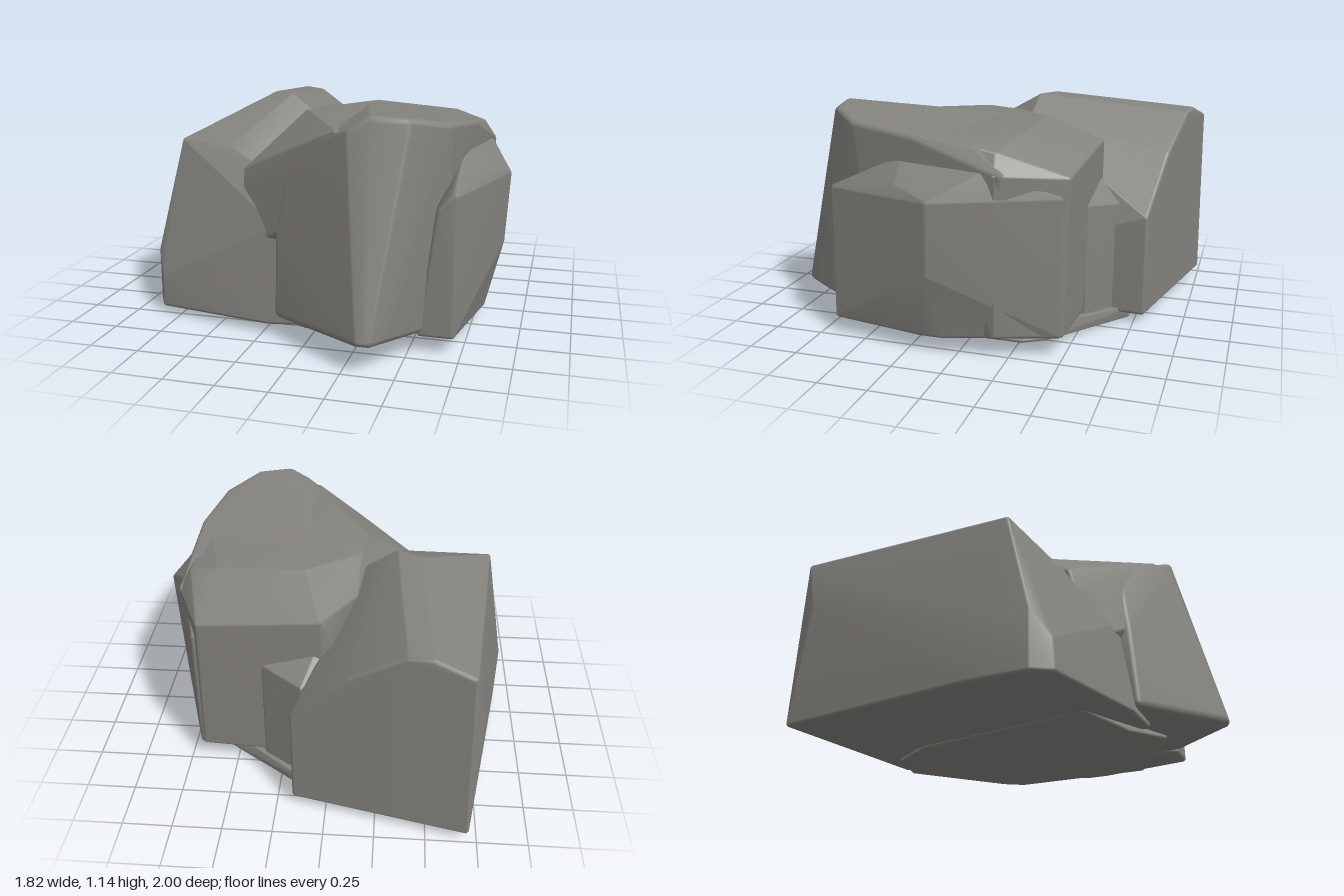
import * as THREE from 'three';
import { ConvexGeometry } from 'three/addons/geometries/ConvexGeometry.js';
import { mergeVertices } from 'three/addons/utils/BufferGeometryUtils.js';

const stone = new THREE.MeshStandardMaterial({ color: 0x83827d });
stone.name = 'grey stone';

// Convex boulder through the given corners, each corner worn to a small radius
function boulder(name, corners, r = 0.025) {
  const pts = corners.map((c) => new THREE.Vector3(...c));
  const centre = new THREE.Vector3();
  pts.forEach((p) => centre.addScaledVector(p, 1 / pts.length));
  const pos = new THREE.IcosahedronGeometry(r, 1).attributes.position;
  const ball = new Map();
  for (let i = 0; i < pos.count; i++) {
    const v = new THREE.Vector3().fromBufferAttribute(pos, i);
    ball.set(v.toArray().map((n) => n.toFixed(4)).join(), v);
  }
  const cloud = [];
  for (const p of pts) {
    // pull the corner in so the worn surface still reaches the outline
    const inset = centre.clone().sub(p);
    const c = p.clone();
    for (const a of ['x', 'y', 'z']) c[a] += Math.sign(inset[a]) * Math.min(r, Math.abs(inset[a]));
    for (const v of ball.values()) cloud.push(c.clone().add(v));
  }
  let geo = new ConvexGeometry(cloud);
  geo.deleteAttribute('normal');
  geo.deleteAttribute('uv');
  geo = mergeVertices(geo, 1e-5);
  geo.computeVertexNormals(); // area weighted: flat faces, soft edges
  const mesh = new THREE.Mesh(geo, stone);
  mesh.name = name;
  return mesh;
}

export function createModel() {
  const group = new THREE.Group();
  group.name = 'rockCluster';

  // Long slab on the -x side, with a sloping ridge
  group.add(boulder('longSlab', [
    [-0.71, 0.05, -1.0], [0.17, 0.05, -0.81], [0.17, 0.59, -0.81],
    [-0.1, 0.87, -0.87], [-0.36, 1.04, -0.93], [-0.5, 1.05, -0.95], [-0.68, 0.99, -0.99], [-0.74, 0.7, -0.9],
    [-0.41, 1.11, -0.2], [-0.3, 1.11, -0.1], [-0.15, 1.0, -0.08],
    [-0.82, 0.9, 0.26], [-0.55, 0.88, 0.3], [-0.34, 0.81, 0.38],
    [-0.91, 0.32, 0.14], [-0.91, 0.3, 0.41], [-0.91, 0.03, 0.41], [-0.9, 0.03, 0.1],
    [-0.86, 0.03, 0.5], [-0.86, 0.18, 0.49], [-0.2, 0.05, 0.65], [0.09, 0.07, 0.65], [-0.17, 0.52, 0.58],
  ], 0.018));

  // Tall front boulder, leaning back from its toe
  group.add(boulder('frontBoulder', [
    [0.24, 0.13, 0.94], [0.32, 0.13, 1.0], [0.4, 0.13, 1.0], [0.46, 0.13, 0.92],
    [0.2, 1.08, 0.78], [0.33, 1.14, 0.77], [0.52, 1.13, 0.74], [0.67, 1.09, 0.58],
    [0.75, 1.06, 0.2], [0.76, 1.02, -0.1], [0.8, 0.92, -0.24], [0.1, 1.07, -0.12],
    [-0.11, 0.94, 0.59], [-0.16, 0.95, 0.3], [-0.17, 0.5, 0.65], [-0.17, 0.1, 0.68], [-0.1, 0.07, 0.3],
    [0.57, 0.1, 0.7], [0.66, 0.09, 0.45], [0.7, 0.08, -0.2], [0.1, 0.08, -0.2],
  ], 0.03));

  // Wide boulder behind it, its left front corner standing proud of the slab
  group.add(boulder('middleBoulder', [
    [0.0, 0.1, -0.54], [0.68, 0.1, -0.5], [0.03, 0.95, -0.55], [0.66, 0.89, -0.52],
    [-0.02, 0.82, -0.53], [-0.13, 0.95, -0.3], [-0.14, 1.05, -0.08], [0.12, 1.07, -0.28], [0.6, 1.04, -0.25],
    [0.74, 1.0, -0.2], [0.8, 0.91, -0.21], [0.79, 0.1, -0.2], [0.7, 1.05, 0.2],
    [-0.17, 1.06, 0.15], [0.1, 1.08, 0.4], [0.15, 1.06, 0.72], [-0.28, 0.93, 0.26],
    [-0.41, 0.8, 0.42], [-0.41, 0.66, 0.45], [-0.37, 0.4, 0.51], [-0.16, 0.52, 0.63], [-0.11, 0.95, 0.58],
    [0.6, 0.1, 0.3], [-0.1, 0.1, 0.4],
  ], 0.018));

  // Narrow upright slab on the +x side
  group.add(boulder('sideSlab', [
    [0.54, 0.08, 0.68], [0.72, 0.08, 0.68], [0.62, 0.72, 0.68], [0.72, 0.78, 0.67],
    [0.72, 0.95, 0.3], [0.79, 0.92, -0.15], [0.83, 0.84, 0.3], [0.91, 0.79, 0.08],
    [0.89, 0.4, 0.1], [0.81, 0.08, 0.2], [0.81, 0.08, 0.05],
    [0.66, 0.1, -0.49], [0.66, 0.8, -0.49], [0.5, 0.1, -0.4], [0.5, 0.8, -0.3], [0.5, 0.1, 0.5],
  ], 0.018));

  // Low wedge filling the gap at the back
  group.add(boulder('backWedge', [
    [0.1, 0.05, -0.66], [0.13, 0.64, -0.66], [0.34, 0.05, -0.53], [0.34, 0.67, -0.53],
    [0.05, 0.76, -0.54], [-0.1, 0.7, -0.5], [-0.1, 0.05, -0.6], [0.2, 0.75, -0.4], [0.2, 0.05, -0.3],
  ], 0.018));

  // Thin base stone under the cluster
  group.add(boulder('baseStone', [
    [-0.1, 0.01, -0.7], [0.07, 0.0, -0.72], [0.09, 0.07, -0.71], [0.36, 0.02, -0.5], [0.6, 0.04, -0.4],
    [0.66, 0.05, -0.3], [0.66, 0.06, 0.45], [0.4, 0.03, 0.5], [-0.05, 0.02, 0.58],
    [-0.35, 0.05, 0.45], [-0.2, 0.03, -0.5], [0.55, 0.12, -0.42], [-0.3, 0.12, 0.3], [0.3, 0.1, 0.68],
  ], 0.012));

  return group;
}
